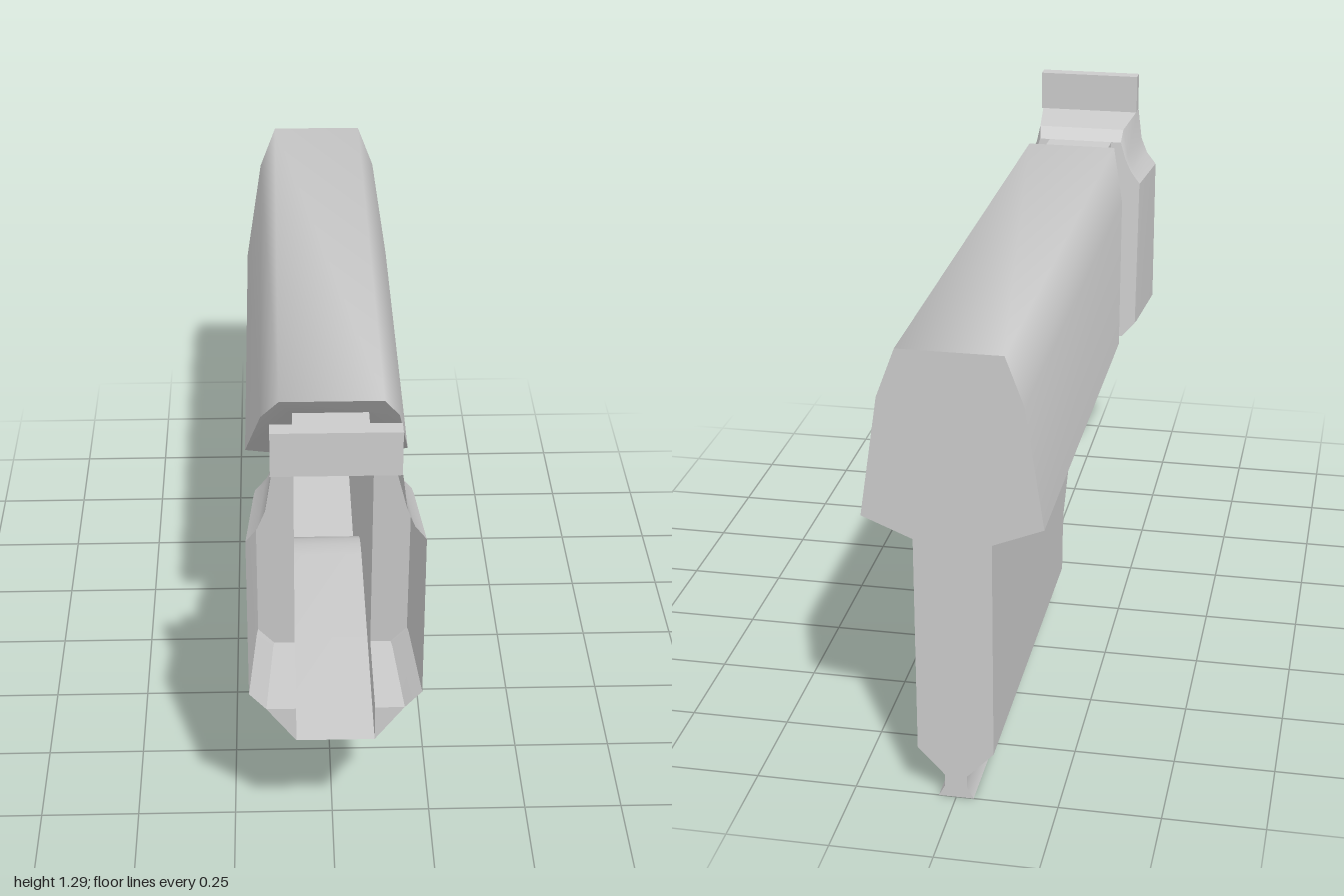
import * as THREE from 'three';
import { toCreasedNormals } from 'three/addons/utils/BufferGeometryUtils.js';

const material = new THREE.MeshStandardMaterial({ color: 0xcccccc, side: THREE.DoubleSide });

function shapeOf(points) {
  return new THREE.Shape(points.map(([x, y]) => new THREE.Vector2(x, y)));
}

// Surface through rows of [x, y, z] points
function loft(rows) {
  const pos = [];
  for (let r = 0; r < rows.length - 1; r++) {
    for (let i = 0; i < rows[r].length - 1; i++) {
      const a = rows[r][i], b = rows[r][i + 1], c = rows[r + 1][i + 1], d = rows[r + 1][i];
      pos.push(...a, ...b, ...c, ...a, ...c, ...d);
    }
  }
  const g = new THREE.BufferGeometry();
  g.setAttribute('position', new THREE.Float32BufferAttribute(pos, 3));
  g.computeVertexNormals();
  return g;
}

function extrude(points, depth) {
  return new THREE.ExtrudeGeometry(shapeOf(points), { depth, bevelEnabled: false });
}

// Right half listed top to bottom or bottom to top, completed on the other side
function mirrored(points) {
  return [...points, ...points.slice().reverse().map(([x, y, ...z]) => [-x, y, ...z])];
}

export function createModel() {
  const model = new THREE.Group();
  function add(name, geometry, crease = 0.6) {
    const mesh = new THREE.Mesh(toCreasedNormals(geometry, crease), material);
    mesh.name = name;
    model.add(mesh);
    return mesh;
  }
  const w = 0.093;

  // Hollow slab body, open at the front; profile points are [z, y]
  const rim = [
    [1, 0.44], [0.22, 0.44], [0.16, 0.432], [0.11, 0.417], [0.06, 0.39], [0.03, 0.35],
    [-0.01, 0.3], [-0.02, 0.255], [-0.03, 0.2], [-0.03, 0.13],
    [-1, 0.13], [-1, 1.07], [0.64, 1.07], [0.69, 1.13], [0.8, 1.13],
  ];
  const side = shapeOf([...rim, [0.74, 0.535], [1, 0.535]]);
  for (const s of [-1, 1]) {
    const g = new THREE.ShapeGeometry(side).rotateY(-Math.PI / 2).translate(s * w, 0, 0);
    add(s > 0 ? 'bodyLeftWall' : 'bodyRightWall', g);
  }
  add('bodyRim', loft([-w, w].map((x) => rim.map(([z, y]) => [x, y, z]))));

  // Foot rail under the body
  const rail = extrude(mirrored([[w, 0.13], [0.027, 0.06], [0.027, 0.03], [0.043, 0]]), 0.97);
  add('footRail', rail.translate(0, 0, -1));

  // Top shroud: an arch over the body, its front cut on a slant
  const shroud = extrude(mirrored([
    [w, 1.07], [w, 0.69], [0.215, 0.74], [0.17, 1.04], [0.125, 1.16],
  ].reverse()), 1);
  const p = shroud.attributes.position;
  for (let i = 0; i < p.count; i++) {
    const front = 0.11 + (0.53 * (p.getY(i) - 0.69)) / 0.47;
    p.setZ(i, -1 + p.getZ(i) * (front + 1));
  }
  shroud.computeVertexNormals();
  add('topShroud', shroud, 1.25);

  // Front hood: open shell tapering to a leaning rear edge
  const backZ = (y) => 0.74 + (0.06 * (y - 0.535)) / 0.6;
  const outline = [
    [0.093, 0.535], [0.163, 0.535], [0.203, 0.58], [0.203, 1.01],
    [0.176, 1.045], [0.158, 1.09], [0.147, 1.18],
  ];
  const rear = [
    [0.093, 0.535], [0.143, 0.535], [0.182, 0.58], [0.182, 1.01],
    [0.155, 1.045], [0.138, 1.08], [0.122, 1.13],
  ];
  const mid = outline.map(([x, y], i) => {
    const r = rear[i];
    const my = i === 6 ? 1.163 : y;
    return [r[0] + (x - r[0]) * 0.15, my, backZ(my) + 0.02];
  });
  const back = rear.map(([x, y]) => [x, y, backZ(y)]);
  add('hoodShell', loft([
    mirrored(outline.map(([x, y]) => [x, y, 1])), mirrored(mid), mirrored(back),
  ]), 0.5);
  for (const s of [-1, 1]) {
    const outer = back.map(([x, y, z]) => [s * x, y, z]);
    const inner = back.map(([, y, z]) => [s * w, y, z]);
    add(s > 0 ? 'hoodLeftBackWall' : 'hoodRightBackWall', loft([outer, inner]));

    // Gusset under the hood lip
    const gusset = extrude([[s * w, 0.44], [s * w, 0.535], [s * 0.163, 0.535]], 0.04);
    add(s > 0 ? 'leftGusset' : 'rightGusset', gusset.translate(0, 0, 0.96));
  }

  // Upright plate on the hood lip
  add('frontPlate', new THREE.BoxGeometry(0.292, 0.11, 0.04).translate(0, 1.235, 0.98));

  return model;
}
